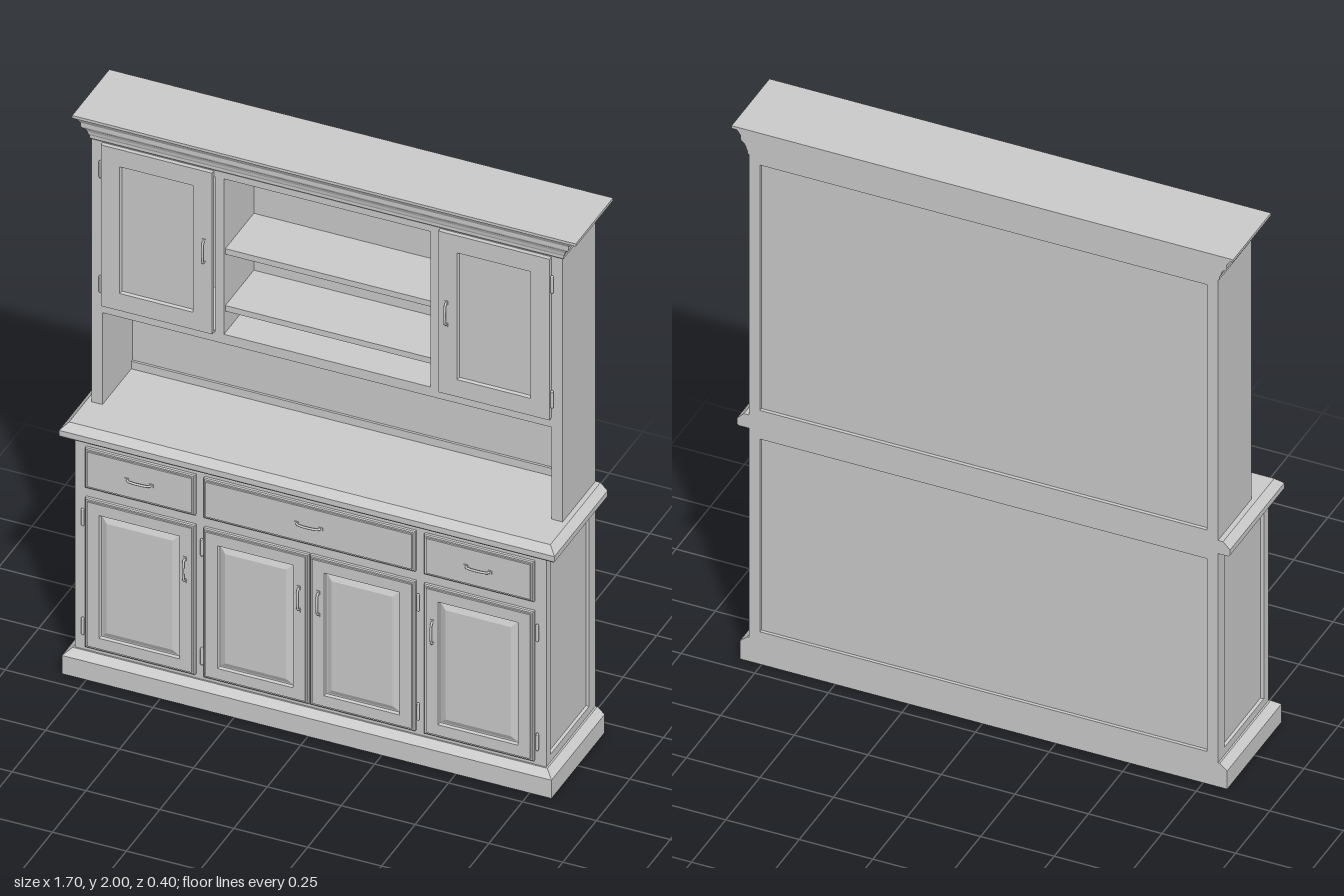
import * as THREE from 'three';

const grey = new THREE.MeshStandardMaterial({ color: 0xcccccc });
const BACK = -0.2;

function add(parent, name, geometry, x = 0, y = 0, z = 0) {
  const mesh = new THREE.Mesh(geometry, grey);
  mesh.name = name;
  mesh.position.set(x, y, z);
  parent.add(mesh);
  return mesh;
}

// Box given by its limits
function board(parent, name, x0, x1, y0, y1, z0, z1) {
  return add(parent, name, new THREE.BoxGeometry(x1 - x0, y1 - y0, z1 - z0),
    (x0 + x1) / 2, (y0 + y1) / 2, (z0 + z1) / 2);
}

// Joins four-cornered rings with flat faces and caps both ends
function loft(rings) {
  const p = [];
  const quad = (a, b, c, d) => p.push(...a, ...b, ...c, ...a, ...c, ...d);
  for (let i = 0; i + 1 < rings.length; i++) {
    for (let j = 0; j < 4; j++) {
      const k = (j + 1) % 4, a = rings[i], b = rings[i + 1];
      quad(a[j], a[k], b[k], b[j]);
    }
  }
  const first = rings[0], last = rings[rings.length - 1];
  quad(first[3], first[2], first[1], first[0]);
  quad(last[0], last[1], last[2], last[3]);
  const g = new THREE.BufferGeometry();
  g.setAttribute('position', new THREE.Float32BufferAttribute(p, 3));
  g.computeVertexNormals();
  return g;
}

// Horizontal moulding, steps are [half width, front z, y, back z]
const moulding = steps => loft(steps.map(([w, f, y, b = BACK]) =>
  [[-w, y, f], [w, y, f], [w, y, b], [-w, y, b]]));

// Upright panel facing +z, steps are [inset, z]
const panel = (w, h, steps) => loft(steps.map(([i, z]) => {
  const a = w / 2 - i, b = h / 2 - i;
  return [[-a, -b, z], [a, -b, z], [a, b, z], [-a, b, z]];
}));

const slabSteps = [[0, 0], [0, 0.009], [0.004, 0.012], [0.009, 0.012], [0.01, 0.016]];
const raisedSteps = [...slabSteps, [0.05, 0.016], [0.053, 0.006], [0.057, 0.006], [0.075, 0.014]];
const flatSteps = [[0, 0], [0, 0.015], [0.064, 0.015], [0.067, 0.004]];

// Bowed pull, upright unless laid flat
function handle(parent, x, y, z, flat = false) {
  const g = new THREE.Group();
  g.name = 'handle';
  const curve = new THREE.CatmullRomCurve3(
    [[-0.04, -0.002], [-0.036, 0.008], [-0.02, 0.012], [0, 0.013], [0.02, 0.012], [0.036, 0.008], [0.04, -0.002]]
      .map(([u, v]) => new THREE.Vector3(0, u, v)));
  add(g, 'handleBow', new THREE.TubeGeometry(curve, 24, 0.004, 8));
  for (const s of [-1, 1]) board(g, 'handleFoot', -0.006, 0.006, s * 0.041 - 0.007, s * 0.041 + 0.007, -0.001, 0.003);
  g.position.set(x, y, z);
  if (flat) g.rotation.z = Math.PI / 2;
  parent.add(g);
}

function hinge(parent, x, y, z) {
  add(parent, 'hinge', new THREE.CylinderGeometry(0.005, 0.005, 0.055, 10), x, y, z);
  for (const s of [-1, 1]) add(parent, 'hingeTip', new THREE.SphereGeometry(0.005, 8, 6), x, y + s * 0.028, z);
}

function buildBase() {
  const g = new THREE.Group();
  g.name = 'baseCabinet';
  const front = 0.167;

  // Hollow plinth with a sloped top edge
  add(g, 'plinth', moulding([
    [0.808, 0.178, 0.07, BACK + 0.02], [0.808, 0.178, 0, BACK + 0.02],
    [0.828, 0.197, 0], [0.828, 0.197, 0.068], [0.803, 0.172, 0.09]]));
  board(g, 'carcass', -0.784, 0.784, 0.085, 0.885, -0.186, front);

  // Framed sides and back
  const y = 0.485, h = 0.8;
  for (const s of [-1, 1]) {
    const side = add(g, 'sidePanel',
      panel(front + 0.186, h, [[0, 0], [0, 0.013], [0.033, 0.013], [0.035, 0.003]]),
      s * 0.784, y, (front - 0.186) / 2);
    side.rotation.y = s * Math.PI / 2;
  }
  const back = add(g, 'backPanel', panel(1.594, h, [[0, 0], [0, 0.014], [0.037, 0.014], [0.037, 0.003]]), 0, y, -0.186);
  back.rotation.y = Math.PI;

  // Countertop with a sloped upper edge
  add(g, 'countertop', moulding([
    [0.832, 0.192, 0.878], [0.838, 0.197, 0.884], [0.838, 0.197, 0.904], [0.814, 0.174, 0.928]]));

  // Drawers
  for (const [x0, x1] of [[-0.759, -0.387], [-0.358, 0.358], [0.387, 0.759]]) {
    const x = (x0 + x1) / 2;
    add(g, 'drawerFront', panel(x1 - x0, 0.149, slabSteps), x, 0.775, front);
    handle(g, x, 0.775, front + 0.016, true);
  }

  // Raised panel doors
  for (const s of [-1, 1]) {
    for (const [x0, x1, handleX, hingeX] of [[0.002, 0.358, 0.033, 0.366], [0.387, 0.759, 0.419, 0.769]]) {
      add(g, 'lowerDoor', panel(x1 - x0, 0.557, raisedSteps), s * (x0 + x1) / 2, 0.385, front);
      handle(g, s * handleX, 0.495, front + 0.016);
      for (const hy of [0.586, 0.18]) hinge(g, s * hingeX, hy, front + 0.006);
    }
  }
  return g;
}

function buildHutch() {
  const g = new THREE.Group();
  g.name = 'hutch';
  const front = 0.045, inner = 0.76, rear = -0.17;

  // Sides, dividers and doors
  for (const s of [-1, 1]) {
    const span = (a, b) => (s > 0 ? [a, b] : [-b, -a]);
    board(g, 'hutchSide', ...span(inner, 0.797), 0.92, 1.92, BACK, front);
    board(g, 'divider', ...span(0.349, 0.38), 1.305, 1.884, rear - 0.01, front);
    add(g, 'upperDoor', panel(0.376, 0.6, flatSteps), s * 0.571, 1.605, front);
    handle(g, s * 0.41, 1.605, front + 0.015);
    for (const hy of [1.808, 1.38]) hinge(g, s * 0.764, hy, front + 0.007);
  }

  // Back panel between two rails
  board(g, 'backRail', -inner, inner, 0.92, 0.956, BACK, rear);
  board(g, 'backRail', -inner, inner, 1.88, 1.92, BACK, rear);
  board(g, 'hutchBack', -inner, inner, 0.95, 1.89, -0.188, -0.178);

  // Bottom, shelves and top
  board(g, 'hutchBottom', -inner, inner, 1.27, 1.305, rear - 0.01, front);
  for (const y of [1.385, 1.597]) board(g, 'shelf', -0.349, 0.349, y, y + 0.021, rear - 0.01, front - 0.01);
  board(g, 'hutchTop', -inner, inner, 1.884, 1.92, rear, front);
  return g;
}

function buildCrown() {
  const g = new THREE.Group();
  g.name = 'crown';
  // Stepped moulding with a cove, then a thin cap
  const profile = [[0, 1.908], [0.005, 1.912], [0.005, 1.922], [0.009, 1.928], [0.011, 1.937],
    [0.016, 1.946], [0.025, 1.953], [0.028, 1.958], [0.028, 1.972], [0.034, 1.98], [0.042, 1.991]];
  const crown = add(g, 'crownMoulding', moulding(profile.map(([o, y]) => [0.797 + o, 0.045 + o * 0.7, y])));
  crown.position.x = -0.004;
  board(g, 'topCap', -0.852, 0.852, 1.99, 2, BACK, 0.077);
  return g;
}

export function createModel() {
  const model = new THREE.Group();
  model.name = 'dresser';
  const base = buildBase(), hutch = buildHutch();
  base.position.x = hutch.position.x = -0.004;
  model.add(base, hutch, buildCrown());
  return model;
}
